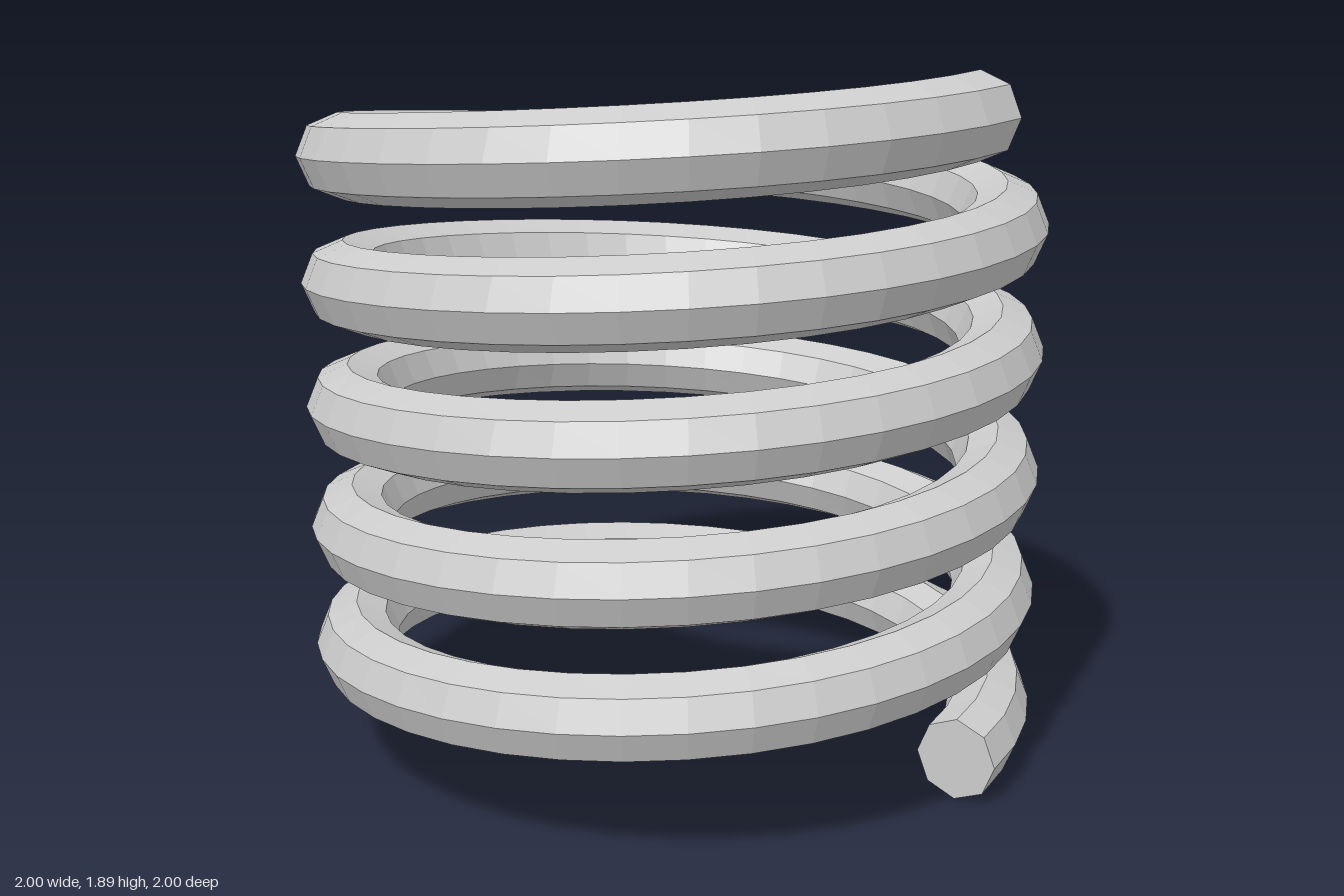
import * as THREE from 'three';

const COIL_RADIUS = 0.889, WIRE_RADIUS = 0.111;
const TURNS = 5, RISE = 1.667, SEGMENTS_PER_TURN = 40;

// Wind a straight eight-sided rod (with end caps) into a rising helix:
// rod x becomes radial, rod y runs along the coil, rod z becomes height.
function coilGeometry() {
  const rod = new THREE.CylinderGeometry(WIRE_RADIUS, WIRE_RADIUS, 1, 8, TURNS * SEGMENTS_PER_TURN);
  const pos = rod.attributes.position;
  for (let i = 0; i < pos.count; i++) {
    const t = pos.getY(i) + 0.5;
    const angle = t * TURNS * Math.PI * 2;
    const radius = COIL_RADIUS + pos.getX(i);
    const height = WIRE_RADIUS + t * RISE + pos.getZ(i);
    pos.setXYZ(i, radius * Math.cos(angle), height, -radius * Math.sin(angle));
  }
  rod.computeVertexNormals();
  return rod;
}

export function createModel() {
  const group = new THREE.Group();
  group.name = 'coilSpring';
  const material = new THREE.MeshStandardMaterial({ color: 0xcccccc, flatShading: true });

  // Single wire coil with flat ends
  const coil = new THREE.Mesh(coilGeometry(), material);
  coil.name = 'coil';
  group.add(coil);
  return group;
}
